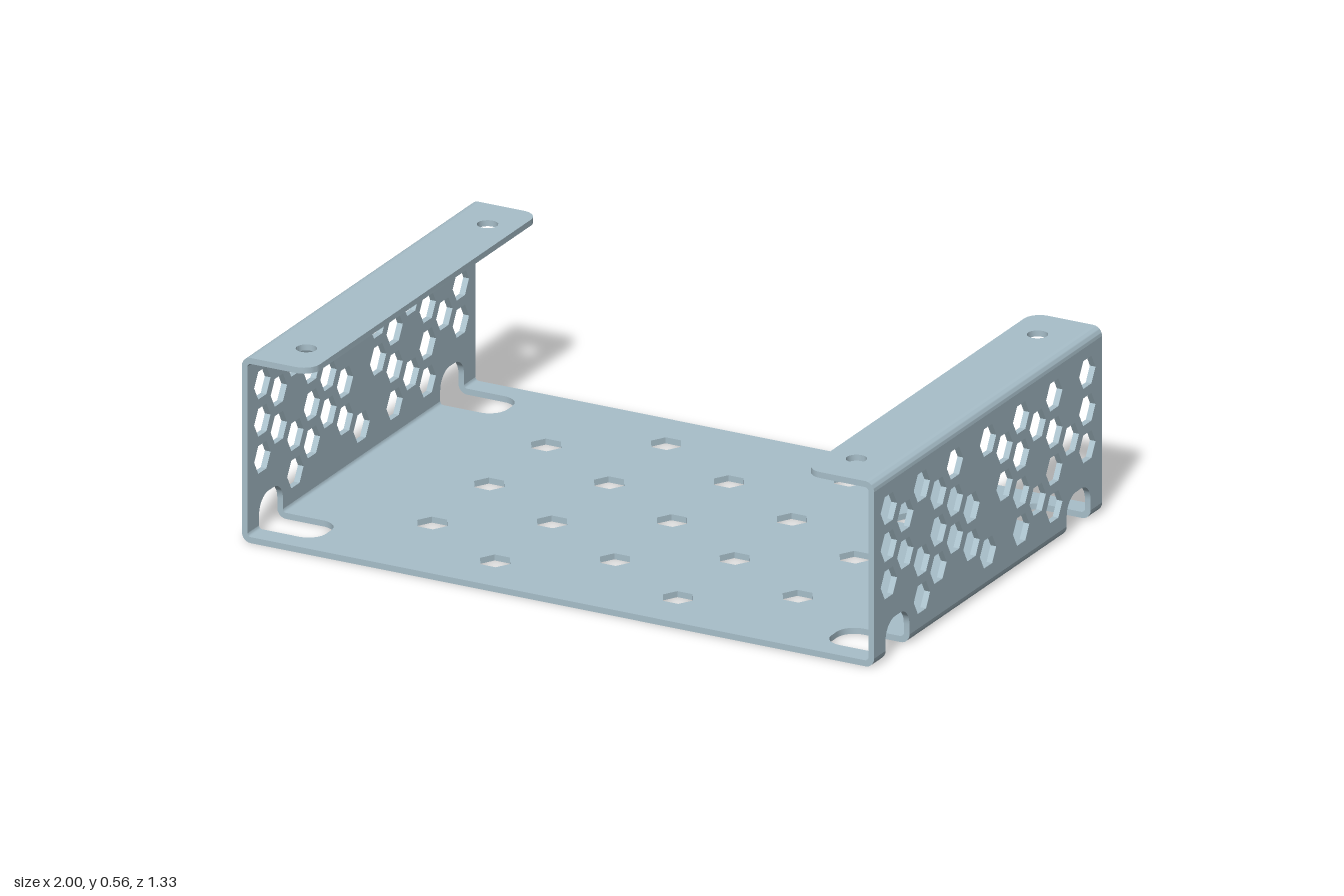
import * as THREE from 'three';
import { toCreasedNormals } from 'three/addons/utils/BufferGeometryUtils.js';

const T = 0.018;              // sheet thickness
const R = 0.028;              // outer bend radius
const H = 0.555, D = 0.667;   // height, half depth
const B = 1 - R;              // where the flat floor ends
const N0 = 0.46, N1 = 0.6;    // cable notch limits along z
const HEX = 0.048;            // hexagon corner radius

// Closed outline from [x, y, cornerRadius] points
function outline(points) {
  const s = new THREE.Shape();
  const n = points.length;
  points.forEach(([x, y, r = 0], i) => {
    const p = new THREE.Vector2(x, y);
    const toward = (q, d) => new THREE.Vector2(q[0] - x, q[1] - y).setLength(d).add(p);
    const prev = points[(i + n - 1) % n], next = points[(i + 1) % n];
    const a = r ? toward(prev, r) : p;
    if (i === 0) s.moveTo(a.x, a.y); else s.lineTo(a.x, a.y);
    if (r) {
      const c1 = toward(prev, r * 0.448), c2 = toward(next, r * 0.448), b = toward(next, r);
      s.bezierCurveTo(c1.x, c1.y, c2.x, c2.y, b.x, b.y);
    }
  });
  s.closePath();
  return s;
}

// Hexagon hole with corners pointing along the first axis
function hexHole(x, y) {
  const pts = [];
  for (let i = 0; i < 6; i++) {
    const a = -i * Math.PI / 3;
    pts.push(new THREE.Vector2(x + HEX * Math.cos(a), y + HEX * Math.sin(a)));
  }
  return new THREE.Path(pts);
}

function extrude(shape, depth) {
  const g = new THREE.ExtrudeGeometry(shape, { depth, bevelEnabled: false, curveSegments: 10 });
  return toCreasedNormals(g, 0.6);
}

export function createModel() {
  const steel = new THREE.MeshStandardMaterial({ color: 0xa8bfca });
  steel.name = 'blue grey steel';
  const model = new THREE.Group();
  model.name = 'perforatedTray';
  const add = (parent, name, geometry) => {
    const m = new THREE.Mesh(geometry, steel);
    m.name = name;
    parent.add(m);
    return m;
  };

  // Floor with slots running in from both sides
  const edge = [
    [B, -D], [B, -N1], [0.8, -N1, 0.055], [0.8, -N0, 0.055], [B, -N0],
    [B, N0], [0.8, N0, 0.055], [0.8, N1, 0.055], [B, N1], [B, D],
  ];
  const floor = outline([...edge, ...edge.map(([x, y, r]) => [-x, -y, r])]);
  for (const x of [-0.289, 0.289])
    for (const z of [-0.5, -0.167, 0.167, 0.5]) floor.holes.push(hexHole(x, z));
  for (const x of [-0.578, 0, 0.578])
    for (const z of [-0.333, 0, 0.333]) floor.holes.push(hexHole(x, z));
  add(model, 'floor', extrude(floor, T).rotateX(-Math.PI / 2));

  // Side walls: first axis is -z; rows of each column count half pitches up
  const wall = outline([
    [-D, R], [-N1, R], [-N1, 0.113, 0.055], [-N0, 0.113, 0.055], [-N0, R],
    [N0, R], [N0, 0.113, 0.055], [N1, 0.113, 0.055], [N1, R], [D, R],
    [D, H - R], [-D, H - R],
  ]);
  const columns = [
    [2, 4, 6], [3, 5], [0, 2, 6], [1, 3, 5], [2, 4, 6], [1, 3], [0, 6],
    [3, 5], [0, 2, 4, 6], [1, 5], [0, 2, 4, 6], [3], [2, 4, 6],
  ];
  columns.forEach((rows, i) => rows.forEach((row) =>
    wall.holes.push(hexHole((i - 6) * 0.0968, 0.114 + row * 0.0557))));
  const wallGeometry = extrude(wall, T).rotateY(Math.PI / 2);
  add(model, 'leftWall', wallGeometry).position.x = 1 - T;
  add(model, 'rightWall', wallGeometry).position.x = -1;

  // Quarter-round bend profile, opening toward -x and +y
  const bend = new THREE.Shape();
  bend.absarc(0, 0, R, -Math.PI / 2, 0, false);
  bend.absarc(0, 0, R - T, 0, -Math.PI / 2, true);
  bend.closePath();

  // Top flange with rounded inner corners and screw holes
  const flange = outline([[0.78, -D, 0.05], [B, -D], [B, D], [0.78, D, 0.05]]);
  for (const z of [-0.53, 0.53]) {
    const hole = new THREE.Path();
    hole.absarc(0.87, z, 0.03, 0, Math.PI * 2, true);
    flange.holes.push(hole);
  }
  const flangeGeometry = extrude(flange, T).rotateX(-Math.PI / 2).translate(0, H - T, 0);
  const topBend = extrude(bend, 2 * D).rotateZ(Math.PI / 2).translate(B, H - R, -D);
  const lowerBends = [[-D, -N1], [-N0, N0], [N1, D]].map(([a, b]) =>
    extrude(bend, b - a).translate(B, R, a));

  for (const side of ['left', 'right']) {
    const group = new THREE.Group();
    group.name = side + 'Folds';
    add(group, 'topFlange', flangeGeometry);
    add(group, 'topBend', topBend);
    lowerBends.forEach((g) => add(group, 'lowerBend', g));
    if (side === 'right') group.rotation.y = Math.PI;
    model.add(group);
  }
  return model;
}
